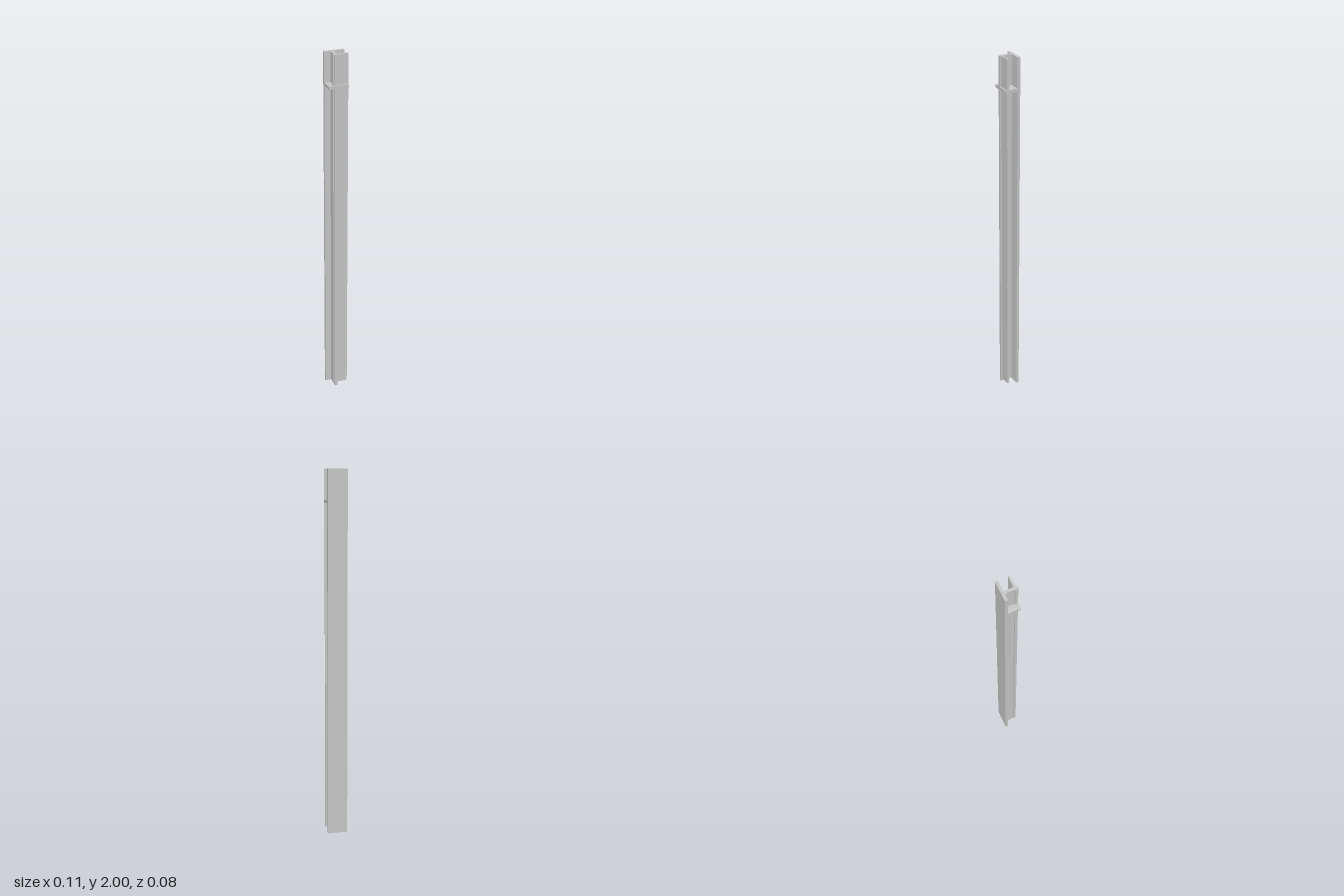
import * as THREE from 'three';

export function createModel() {
  const group = new THREE.Group();
  const steel = new THREE.MeshStandardMaterial({ color: 0xc8c8c8 });
  steel.name = 'light grey steel';

  // Box given by its minimum and maximum corners
  function addPlate(name, [x0, y0, z0], [x1, y1, z1]) {
    const mesh = new THREE.Mesh(new THREE.BoxGeometry(x1 - x0, y1 - y0, z1 - z0), steel);
    mesh.position.set((x0 + x1) / 2, (y0 + y1) / 2, (z0 + z1) / 2);
    mesh.name = name;
    group.add(mesh);
  }

  // Wide rear flange over the full height
  addPlate('backFlange', [-0.0545, 0, -0.042], [0.0545, 2, -0.0265]);
  // Web runs through the front flange and ends in a narrow rib
  addPlate('web', [-0.021, 0, -0.0265], [-0.006, 2, 0.042]);
  // Thin, offset front flange, stopping just above the base, either side of the web
  addPlate('frontFlangeRight', [-0.028, 0.018, 0.0235], [-0.021, 2, 0.0333]);
  addPlate('frontFlangeLeft', [-0.006, 0.018, 0.0235], [0.0545, 2, 0.0333]);
  // Horizontal stiffener near the top, either side of the web
  addPlate('stiffenerRight', [-0.0545, 1.82, -0.0265], [-0.021, 1.836, 0.042]);
  addPlate('stiffenerLeft', [-0.006, 1.82, -0.0265], [0.0545, 1.836, 0.042]);

  return group;
}
